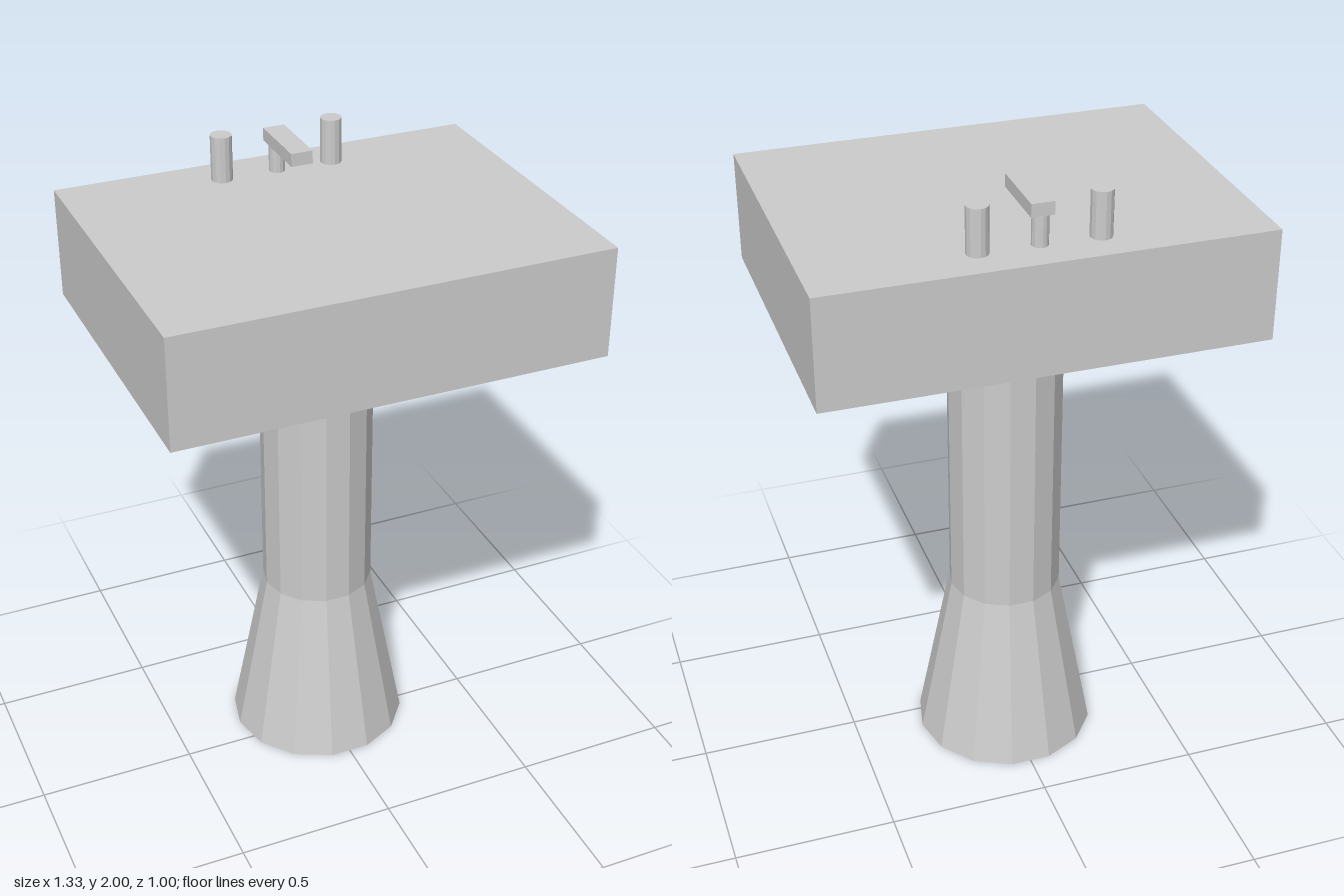
import * as THREE from 'three';

export function createModel() {
  const group = new THREE.Group();
  group.name = 'pedestalSink';
  const grey = new THREE.MeshStandardMaterial({ color: 0xcccccc, flatShading: true });
  grey.name = 'ceramic grey';

  const SIDES = 14;
  const PEDESTAL_Z = -0.085;
  const TAP_Z = -0.382;
  const BASIN_BOTTOM = 1.515;
  const BASIN_TOP = 1.858;

  function add(name, geometry, x, y, z) {
    const mesh = new THREE.Mesh(geometry, grey);
    mesh.name = name;
    mesh.position.set(x, y, z);
    group.add(mesh);
    return mesh;
  }

  // upright faceted column between two heights
  function column(name, rTop, rBottom, y0, y1, x, z, open = false) {
    const geometry = new THREE.CylinderGeometry(rTop, rBottom, y1 - y0, SIDES, 1, open);
    return add(name, geometry, x, (y0 + y1) / 2, z);
  }

  function box(name, w, y0, y1, z0, z1) {
    const geometry = new THREE.BoxGeometry(w, y1 - y0, z1 - z0);
    return add(name, geometry, 0, (y0 + y1) / 2, (z0 + z1) / 2);
  }

  // pedestal: flared foot and straight shaft, corners pointing sideways
  column('pedestalFoot', 0.177, 0.286, 0, 0.56, 0, PEDESTAL_Z).rotation.y = Math.PI / 2;
  column('pedestalShaft', 0.177, 0.177, 0.56, BASIN_BOTTOM, 0, PEDESTAL_Z, true).rotation.y = Math.PI / 2;

  // basin block
  box('basin', 1.332, BASIN_BOTTOM, BASIN_TOP, -0.502, 0.502);

  // tap handles, mirrored
  for (const [name, side] of [['leftTap', 1], ['rightTap', -1]]) {
    column(name, 0.033, 0.033, BASIN_TOP, 2, side * 0.178, TAP_Z);
  }

  // spout post and bar
  column('spoutPost', 0.025, 0.025, BASIN_TOP, 1.95, 0, TAP_Z);
  box('spoutBar', 0.068, 1.95, 1.99, -0.405, -0.183);

  return group;
}
